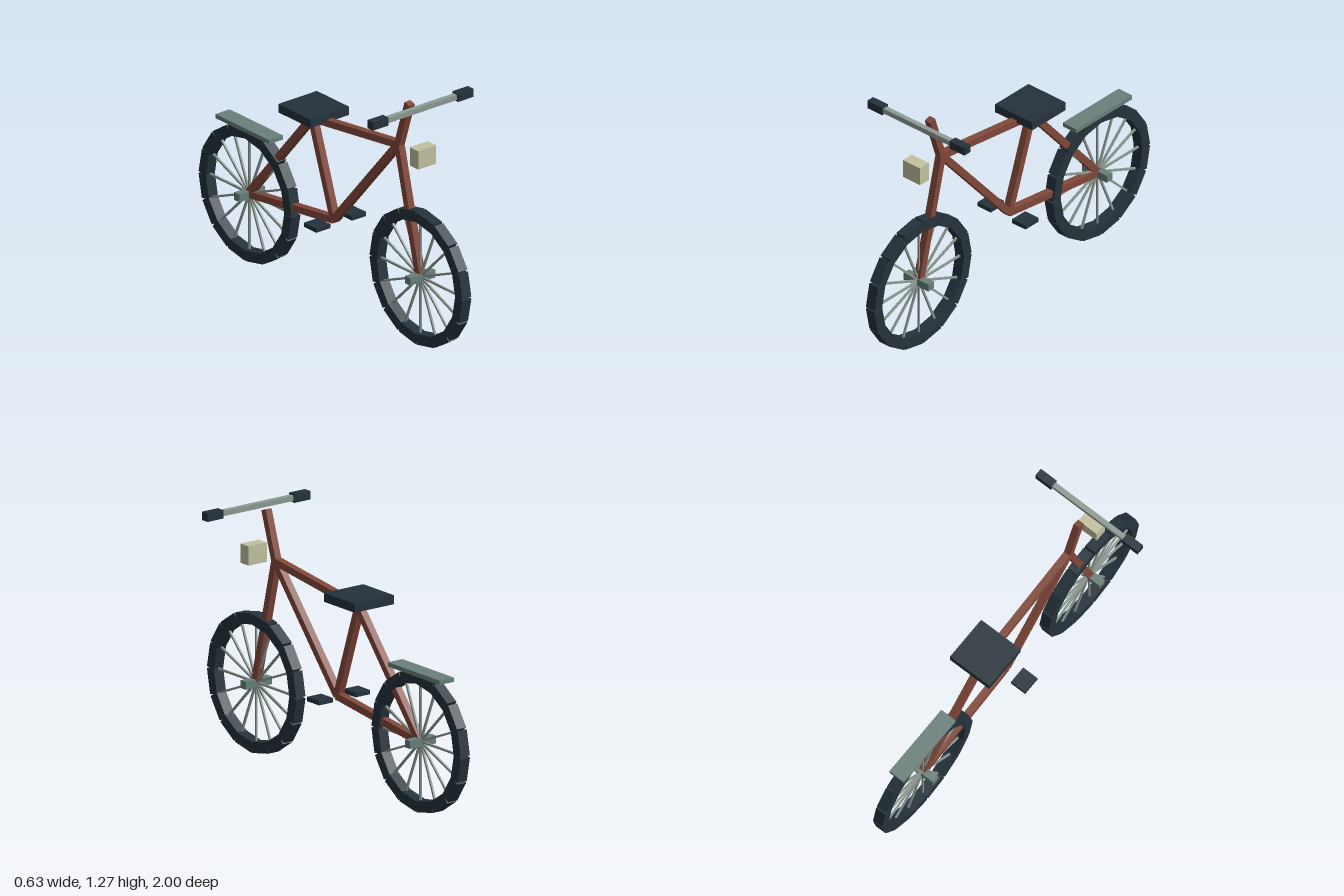
import * as THREE from 'three';

const mat = (name, color) => {
  const m = new THREE.MeshStandardMaterial({ color });
  m.name = name;
  return m;
};

export function createModel() {
  const rust = mat('rust frame', 0x82483a);
  const dark = mat('dark rubber', 0x25323b);
  const steel = mat('green grey metal', 0x6a807a);
  const chrome = mat('light grey metal', 0x8e9b95);
  const cream = mat('cream lamp', 0xc2c2a0);

  const bike = new THREE.Group();
  bike.name = 'bicycle';

  const box = (name, material, size, pos, parent = bike) => {
    const mesh = new THREE.Mesh(new THREE.BoxGeometry(...size), material);
    mesh.name = name;
    mesh.position.set(...pos);
    parent.add(mesh);
    return mesh;
  };

  // Square tube between two [z, y] points in the centre plane
  const tube = (name, [z0, y0], [z1, y1]) => {
    const dz = z1 - z0, dy = y1 - y0;
    const mesh = box(name, rust, [0.037, 0.036, Math.hypot(dz, dy)], [0, (y0 + y1) / 2, (z0 + z1) / 2]);
    mesh.rotation.x = -Math.atan2(dy, dz);
  };

  // Wheels: straight tyre segments, with a spoke at every joint
  const axleY = 0.353, axleZ = 0.648, count = 16, step = (Math.PI * 2) / count;
  const ringR = 0.325;
  const apothem = ringR * Math.cos(step / 2), chord = 2 * ringR * Math.sin(step / 2);
  const wheel = (name, z) => {
    const group = new THREE.Group();
    group.name = name;
    group.position.set(0, axleY, z);
    for (let i = 0; i < count; i++) {
      const a = (i + 0.5) * step, s = i * step;
      box('tyreSegment', dark, [0.057, 0.055, chord],
        [0, Math.cos(a) * apothem, Math.sin(a) * apothem], group).rotation.x = a;
      box('spoke', chrome, [0.01, 0.31, 0.01],
        [0, Math.cos(s) * 0.155, Math.sin(s) * 0.155], group).rotation.x = s;
    }
    box('hub', steel, [0.16, 0.04, 0.04], [0, 0, 0], group);
    bike.add(group);
  };
  wheel('frontWheel', axleZ);
  wheel('rearWheel', -axleZ);

  // Frame
  const head = [0.488, 1.003], seatNode = [-0.166, 0.92], crank = [0, 0.436];
  tube('fork', [axleZ, axleY], head);
  tube('stem', head, [0.567, 1.246]);
  tube('topTube', head, seatNode);
  tube('downTube', head, crank);
  tube('seatTube', crank, seatNode);
  tube('chainStay', crank, [-axleZ, axleY]);
  tube('seatStay', seatNode, [-axleZ, axleY]);

  // Fittings
  box('handlebar', chrome, [0.45, 0.027, 0.027], [0, 1.246, 0.648]);
  box('headlight', cream, [0.112, 0.097, 0.065], [0, 1.003, 0.668]);
  box('saddle', dark, [0.243, 0.045, 0.243], [0, 0.963, -0.162]);
  box('luggageRack', steel, [0.089, 0.022, 0.405], [0, 0.704, -0.65]);

  // Paired parts
  for (const side of [-1, 1]) {
    box('grip', dark, [0.097, 0.043, 0.043], [side * 0.268, 1.246, 0.648]);
    box('pedal', dark, [0.088, 0.022, 0.095], [side * 0.113, 0.435, 0]);
  }

  return bike;
}
